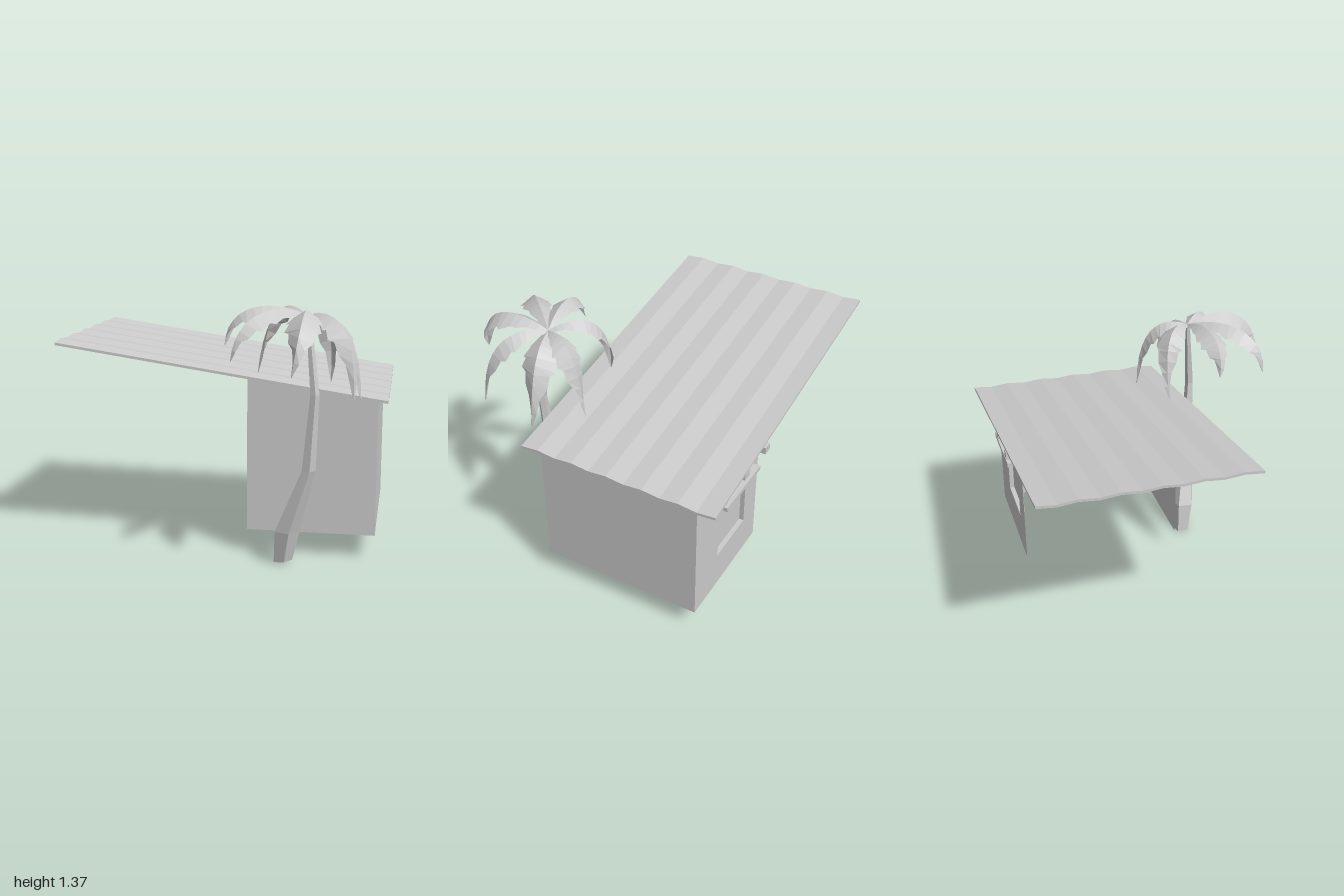
import * as THREE from 'three';

const mat = new THREE.MeshStandardMaterial({ color: 0xcccccc, flatShading: true, side: THREE.DoubleSide });

function add(parent, name, geometry, x = 0, y = 0, z = 0) {
  const m = new THREE.Mesh(geometry, mat);
  m.name = name;
  m.position.set(x, y, z);
  parent.add(m);
  return m;
}

// House frame: x runs down the roof slope, z across it
const SLOPE = 0.147;
const roofUnder = x => 1.005 - SLOPE * x;
const X0 = 0.142, X1 = 0.832, BACK = -0.431, FRONT = 0.475, BASE = 0.135;

// Wall outline with a top edge that follows the roof
function wallShape() {
  return new THREE.Shape([[X0, BASE], [X1, BASE], [X1, roofUnder(X1)], [X0, roofUnder(X0)]]
    .map(p => new THREE.Vector2(...p)));
}

// Corrugated sheet: zigzag strip extruded along the slope, then sheared
function roofGeometry() {
  const n = 11, half = 0.555, len = 1.77, t = 0.014;
  const top = [], bottom = [];
  for (let i = 0; i <= n; i++) {
    const x = -half + (2 * half * i) / n, y = i % 2 ? 0.005 : -0.005;
    top.push(new THREE.Vector2(x, y));
    bottom.unshift(new THREE.Vector2(x, y - t));
  }
  const g = new THREE.ExtrudeGeometry(new THREE.Shape([...top, ...bottom]), { depth: len, bevelEnabled: false });
  g.rotateY(Math.PI / 2).translate(-len / 2, 1.02, 0);
  const p = g.attributes.position;
  for (let i = 0; i < p.count; i++) p.setY(i, p.getY(i) - SLOPE * p.getX(i));
  g.computeVertexNormals();
  return g;
}

function buildHouse() {
  const house = new THREE.Group();
  house.name = 'house';
  house.position.z = -0.2;
  house.rotation.y = -Math.PI / 12;

  add(house, 'roof', roofGeometry());
  add(house, 'frontWall', new THREE.ShapeGeometry(wallShape()), 0, 0, FRONT);

  // Back wall with a window opening
  const w0 = X1 - 0.55, w1 = X1 - 0.24, h0 = 0.34, h1 = 0.705, depth = 0.026;
  const back = wallShape();
  back.holes.push(new THREE.Path([[w0, h0], [w0, h1], [w1, h1], [w1, h0]].map(p => new THREE.Vector2(...p))));
  add(house, 'backWall', new THREE.ShapeGeometry(back), 0, 0, BACK);

  // Side wall closes the low end; the high end stays open
  const h = roofUnder(X1) - BASE;
  add(house, 'sideWall', new THREE.PlaneGeometry(FRONT - BACK, h).rotateY(Math.PI / 2),
    X1, BASE + h / 2, (FRONT + BACK) / 2);

  // Window recess: a shallow box without its outer face
  const recess = new THREE.BoxGeometry(w1 - w0, h1 - h0, depth);
  recess.setIndex(Array.from(recess.index.array).slice(0, 30));
  add(house, 'windowRecess', recess, (w0 + w1) / 2, (h0 + h1) / 2, BACK + depth / 2);

  add(house, 'windowLintel', new THREE.BoxGeometry(0.38, 0.024, 0.06), X1 - 0.4, 0.707, BACK - 0.03);

  // Beam ends poking through the back wall
  for (const s of [0.155, 0.395, 0.635])
    add(house, 'beam', new THREE.BoxGeometry(0.052, 0.04, 0.12), X1 - s, 0.808, BACK - 0.015);
  return house;
}

// Bent trunk: cylinder rows moved onto a list of [x, y, z, radius], top first
function trunkGeometry() {
  const rings = [
    [0.295, 1.32, 0.545, 0.014], [0.325, 0.93, 0.59, 0.025], [0.302, 0.53, 0.565, 0.038],
    [0.205, 0.185, 0.482, 0.07], [0.187, 0.011, 0.462, 0.052]
  ];
  const g = new THREE.CylinderGeometry(1, 1, 1, 5, rings.length - 1);
  const p = g.attributes.position;
  for (let i = 0; i < p.count; i++) {
    const row = Math.round((0.5 - p.getY(i)) * (rings.length - 1));
    const [x, y, z, r] = rings[row];
    const dx = p.getX(i) * r, dz = p.getZ(i) * r;
    const tilt = row === 4 ? 0.1 * (dx + dz) : 0;
    p.setXYZ(i, x + dx, y + tilt, z + dz);
  }
  g.computeVertexNormals();
  return g;
}

const CROWN = new THREE.Vector3(0.29, 1.325, 0.54);

// Drooping leaf: roof-shaped cross-sections with toothed edges along a curve
function frondGeometry(tip, lift, curl, width) {
  const out = tip.clone().sub(CROWN).setY(0);
  const reach = out.length();
  out.normalize();
  const across = new THREE.Vector3(-out.z, 0, out.x);
  const at = (d, y, c) => CROWN.clone().addScaledVector(out, d * reach)
    .addScaledVector(across, c).add(new THREE.Vector3(0, y, 0));
  const curve = new THREE.CubicBezierCurve3(CROWN, at(0.4, lift, curl * 0.6),
    at(0.98, lift * 0.8, curl), tip);

  const n = 12, pos = [], index = [];
  for (let i = 0; i <= n; i++) {
    const t = i / n, c = curve.getPoint(t), dir = curve.getTangent(t);
    const side = new THREE.Vector3().crossVectors(dir, new THREE.Vector3(0, 1, 0)).normalize();
    const up = new THREE.Vector3().crossVectors(side, dir);
    const body = Math.min(1, 0.2 + 2 * t) * Math.min(1, 0.03 + 2.6 * (1 - t));
    const w = width * body * (i % 2 ? 1.06 : 0.86);
    for (const s of [-1, 0, 1]) {
      const v = c.clone().addScaledVector(side, s * w)
        .addScaledVector(up, s ? -0.65 * w : 0)
        .addScaledVector(dir, s && i % 2 ? 0.018 * body : 0);
      pos.push(v.x, v.y, v.z);
    }
    if (i < n) for (const k of [0, 1]) {
      const a = i * 3 + k;
      index.push(a, a + 1, a + 3, a + 1, a + 4, a + 3);
    }
  }
  const g = new THREE.BufferGeometry();
  g.setAttribute('position', new THREE.Float32BufferAttribute(pos, 3));
  g.setIndex(index);
  g.computeVertexNormals();
  return g;
}

function buildPalm() {
  const palm = new THREE.Group();
  palm.name = 'palmTree';
  add(palm, 'trunk', trunkGeometry());
  // Tip x, y, z, then lift, sideways curl and half width
  const fronds = [
    [0.07, 0.99, 0.28, 0.08, 0.06, 0.07],
    [-0.12, 1.17, 0.48, 0.09, -0.03, 0.075],
    [-0.12, 1.13, 0.78, 0.08, -0.02, 0.075],
    [0.15, 1.08, 0.95, 0.09, -0.05, 0.085],
    [0.47, 0.95, 0.85, 0.05, -0.02, 0.075],
    [0.57, 0.89, 0.56, 0.0, -0.02, 0.09],
    [0.46, 0.94, 0.3, 0.03, 0.02, 0.07]
  ];
  for (const [x, y, z, lift, curl, width] of fronds)
    add(palm, 'frond', frondGeometry(new THREE.Vector3(x, y, z), lift, curl, width));
  return palm;
}

export function createModel() {
  const model = new THREE.Group();
  model.name = 'beachHut';
  model.add(buildHouse(), buildPalm());
  return model;
}
